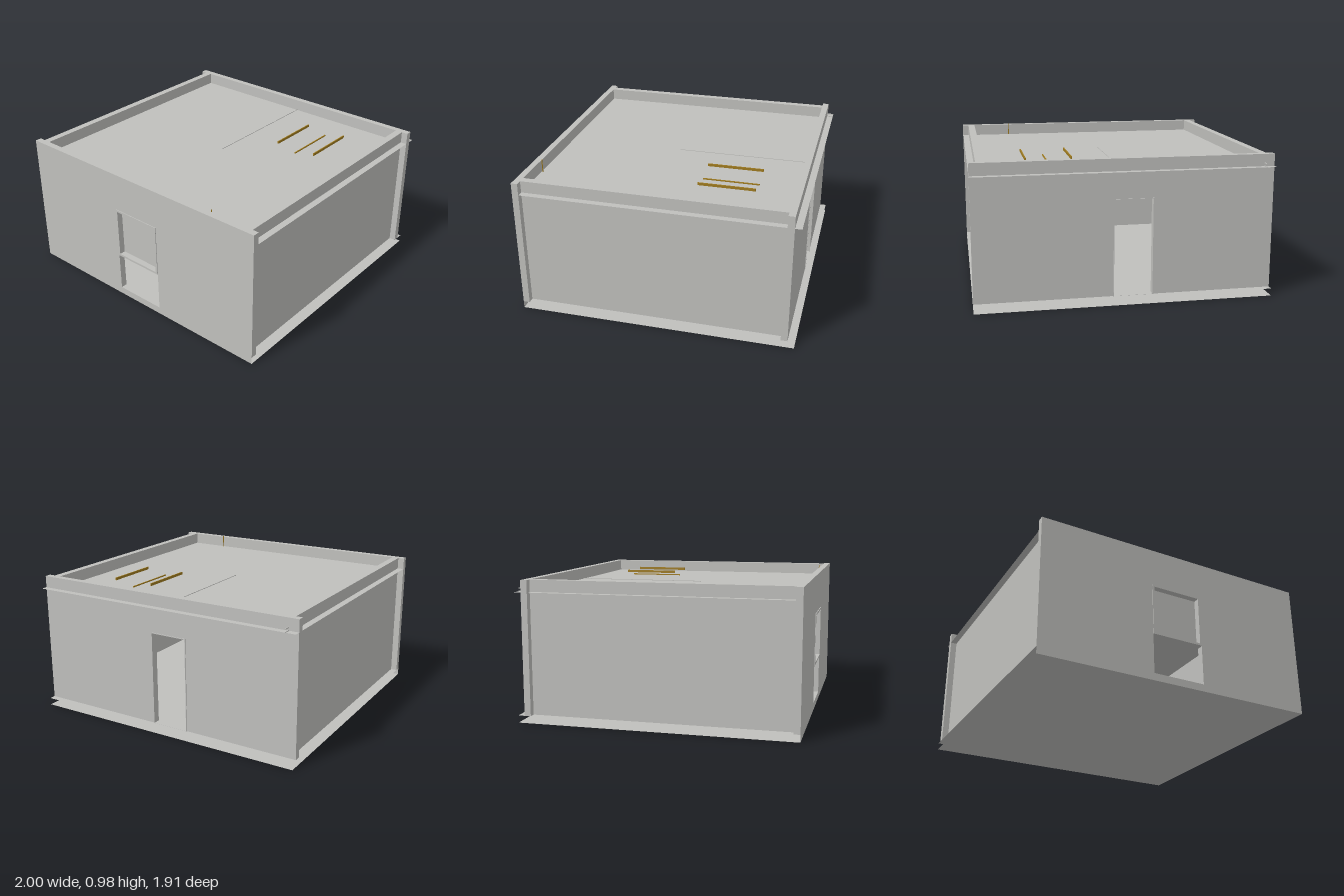
import * as THREE from 'three';

export function createModel() {
  const model = new THREE.Group();
  const concrete = new THREE.MeshStandardMaterial({ color: 0xc0c0bd, side: THREE.DoubleSide });
  concrete.name = 'concrete grey';
  const brass = new THREE.MeshStandardMaterial({ color: 0xa07c20 });
  brass.name = 'brass';

  const add = (name, geometry, material) => {
    const mesh = new THREE.Mesh(geometry, material);
    mesh.name = name;
    model.add(mesh);
    return mesh;
  };
  // Box from its lower and upper limits
  const box = (name, x0, x1, y0, y1, z0, z1, material = concrete) =>
    add(name, new THREE.BoxGeometry(x1 - x0, y1 - y0, z1 - z0), material)
      .position.set((x0 + x1) / 2, (y0 + y1) / 2, (z0 + z1) / 2);
  const rectangle = (PathType, x0, x1, y0, y1) => new PathType([
    new THREE.Vector2(x0, y0), new THREE.Vector2(x1, y0),
    new THREE.Vector2(x1, y1), new THREE.Vector2(x0, y1)]);
  // Upright panel with one rectangular opening
  const pierced = (name, outer, hole, z0, z1) => {
    const shape = rectangle(THREE.Shape, ...outer);
    shape.holes.push(rectangle(THREE.Path, ...hole));
    const geometry = new THREE.ExtrudeGeometry(shape, { depth: z1 - z0, bevelEnabled: false });
    add(name, geometry, concrete).position.z = z0;
  };
  // Open horizontal sheet that projects past the walls
  const sheet = (name, y) => {
    const mesh = add(name, new THREE.PlaneGeometry(2, 1.905), concrete);
    mesh.rotation.x = -Math.PI / 2;
    mesh.position.set(0, y, -0.0025);
  };

  // Floor and roof
  sheet('floorUnderside', 0);
  sheet('floorTop', 0.05);
  sheet('roof', 0.888);

  // Walls with the window and the doorway
  pierced('frontWall', [-1, 1, 0.05, 0.97], [-0.19, 0.185, 0.051, 0.7], 0.905, 0.95);
  pierced('backWall', [-1, 1, 0.05, 0.97], [-0.18, 0.08, 0.051, 0.7], -0.91, -0.865);
  for (const side of [-1, 1]) {
    const x = side * 0.93;
    box(side > 0 ? 'leftWall' : 'rightWall', x - 0.025, x + 0.025, 0.05, 0.97, -0.865, 0.905);
  }
  const skirt = add('frontSkirt', new THREE.PlaneGeometry(2, 0.05), concrete);
  skirt.position.set(0, 0.025, 0.95);

  // Window sash, frame and door trim
  pierced('windowFrame', [-0.19, 0.185, 0.33, 0.7], [-0.175, 0.17, 0.345, 0.685], 0.905, 0.955);
  box('windowPanel', -0.175, 0.17, 0.345, 0.685, 0.905, 0.912);
  pierced('doorTrim', [-0.186, 0.086, 0.05, 0.705], [-0.18, 0.08, 0.051, 0.7], -0.915, -0.91);

  // Small fitting inside the room
  box('fittingBase', -0.05, 0.045, 0.165, 0.21, -0.03, 0.03);
  box('fittingTop', -0.018, 0.015, 0.21, 0.235, -0.015, 0.015, brass);

  // Roof rails, pin and seam
  [[0.31, 0.92, 0.938], [0.463, 0.889, 0.897], [0.62, 0.92, 0.938]].forEach(([x, y0, y1]) =>
    box('roofRail', x - 0.004, x + 0.004, y0, y1, -0.6, -0.21, brass));
  box('roofPin', 0.622, 0.627, 0.888, 0.98, 0.892, 0.897, brass);
  box('roofSeam', 0.012, 0.016, 0.888, 0.892, -0.865, 0.07);

  // Two short stubs behind the back wall
  for (const y of [0.89, 0.91]) box('backStub', -0.933, -0.928, y - 0.003, y + 0.003, -0.955, -0.91);

  return model;
}
